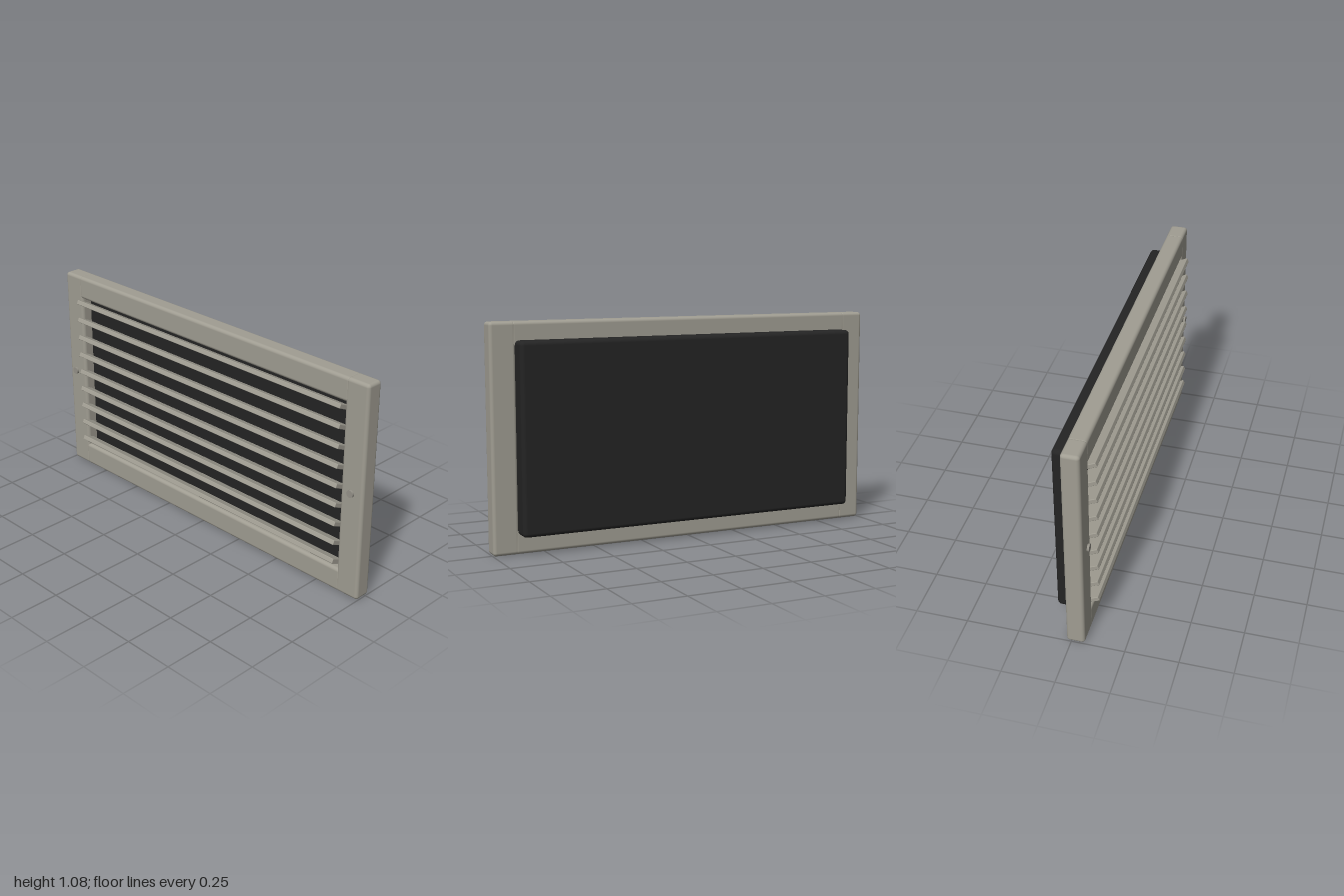
import * as THREE from 'three';
import { RoundedBoxGeometry } from 'three/addons/geometries/RoundedBoxGeometry.js';

export function createModel() {
  const model = new THREE.Group();
  model.name = 'ventGrille';

  const paint = new THREE.MeshStandardMaterial({ name: 'warm grey paint', color: 0xa09d92 });
  const dark = new THREE.MeshStandardMaterial({ name: 'dark duct', color: 0x242424 });
  const metal = new THREE.MeshStandardMaterial({ name: 'screw metal', color: 0x949188 });

  const add = (name, geometry, material, x, y, z) => {
    const mesh = new THREE.Mesh(geometry, material);
    mesh.name = name;
    mesh.position.set(x, y, z);
    model.add(mesh);
    return mesh;
  };
  const rounded = (w, h, d, r) => new RoundedBoxGeometry(w, h, d, 3, r);

  // Frame: rails sit between the stiles, their rounded ends meeting in a small groove
  const height = 1.075, depth = 0.086, frameZ = 0.02;
  const rail = rounded(1.79, 0.117, depth, 0.016);
  add('topRail', rail, paint, 0, height - 0.0585, frameZ);
  add('bottomRail', rail, paint, 0, 0.0585, frameZ);
  const stile = rounded(0.125, height, depth, 0.016);

  // Stiles and their screw heads, mirrored
  const screw = new THREE.CylinderGeometry(0.018, 0.018, 0.01, 20).rotateX(Math.PI / 2);
  for (const [side, s] of [['left', 1], ['right', -1]]) {
    add(side + 'Stile', stile, paint, s * 0.9375, height / 2, frameZ);
    add(side + 'Screw', screw, metal, s * 0.94, 0.54, 0.076);
  }

  // Duct box behind the frame
  add('ductBox', rounded(1.76, 0.9, 0.115, 0.02), dark, 0, 0.54, -0.0435);

  // Louvre slats, front edges tilted up
  const slat = rounded(1.755, 0.022, 0.07, 0.003);
  for (let i = 0; i < 9; i++) {
    const mesh = add('slat' + (i + 1), slat, paint, 0, 0.159 + i * 0.0971, 0.065);
    mesh.rotation.x = -THREE.MathUtils.degToRad(25);
  }

  return model;
}
